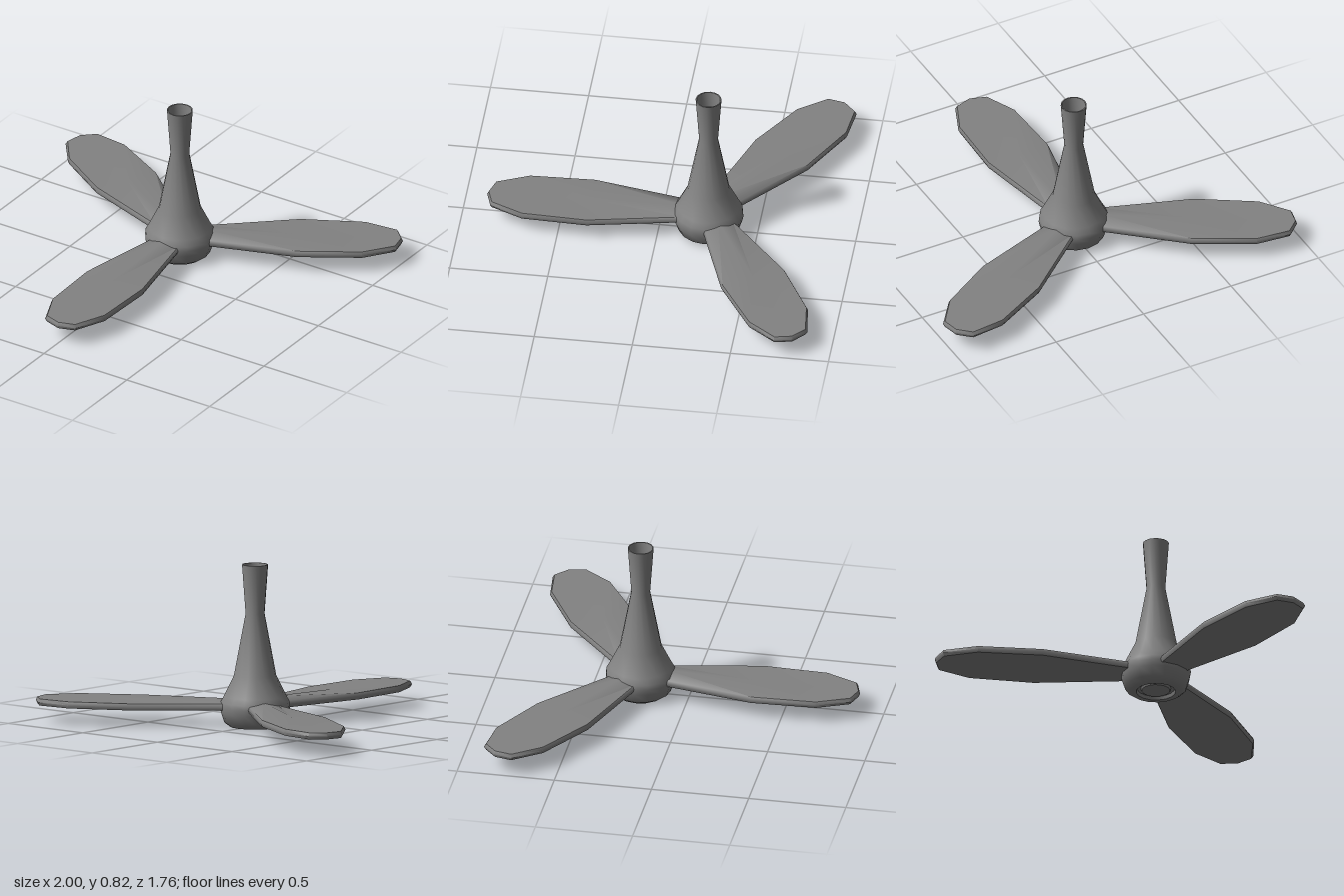
import * as THREE from 'three';
import { toCreasedNormals } from 'three/addons/utils/BufferGeometryUtils.js';

const HUB_Z = -0.25;

// Hub and flared down-rod: one turned shape with a hollow top and a grooved underside
function hubGeometry() {
  const profile = [
    [0, 0.006], [0.072, 0.006], [0.077, 0.018], [0.095, 0.018], [0.1, 0], [0.128, 0],
    [0.155, 0.02], [0.172, 0.07], [0.178, 0.1], [0.175, 0.125], [0.158, 0.155],
    [0.107, 0.26], [0.048, 0.575], [0.066, 0.825],
    [0.06, 0.825], [0.055, 0.74], [0, 0.74],
  ].map(([r, y]) => new THREE.Vector2(r, y));
  return toCreasedNormals(new THREE.LatheGeometry(profile, 16), 0.8);
}

// Blade along +z: cross-sections with rounded rims and a ridge rising towards the hub
function bladeGeometry() {
  const low = 0.086, mid = 0.103, top = 0.12, bevel = 0.008;
  // distance from hub axis, half width, ridge height, end bevel
  const stations = [
    [0.13, 0.085, 0.138, 0], [0.6, 0.175, 0.124, 0], [0.93, 0.164, 0.12, 0],
    [1.1, 0.092, 0.12, 0.007], [1.128, 0, 0.12, 0.008],
  ];
  const positions = [], index = [];
  for (const [r, w, ridge, end] of stations) {
    const v = Math.max(w - bevel, 0), z = r - end;
    positions.push(
      v, low, z, w, mid, r, v, top, z, 0, ridge, z,
      -v, top, z, -w, mid, r, -v, low, z);
  }
  const n = 7;
  for (let i = 0; i < stations.length - 1; i++) {
    for (let j = 0; j < n; j++) {
      const k = (j + 1) % n;
      const a = i * n + j, b = i * n + k, c = b + n, d = a + n;
      index.push(a, b, c, a, c, d);
    }
  }
  // root cap inside the hub
  for (let j = 1; j < n - 1; j++) index.push(0, j + 1, j);
  const geometry = new THREE.BufferGeometry();
  geometry.setAttribute('position', new THREE.Float32BufferAttribute(positions, 3));
  geometry.setIndex(index);
  return toCreasedNormals(geometry, 1);
}

export function createModel() {
  const fan = new THREE.Group();
  fan.name = 'ceilingFan';
  const darkGrey = new THREE.MeshStandardMaterial({ color: 0x828282 });

  const hub = new THREE.Mesh(hubGeometry(), darkGrey);
  hub.name = 'hubAndRod';
  hub.position.z = HUB_Z;
  fan.add(hub);

  // Three blades, evenly spaced, one pointing forward
  const shape = bladeGeometry();
  ['frontBlade', 'backLeftBlade', 'backRightBlade'].forEach((name, i) => {
    const blade = new THREE.Mesh(shape, darkGrey);
    blade.name = name;
    blade.position.z = HUB_Z;
    blade.rotation.y = (i * 2 * Math.PI) / 3;
    fan.add(blade);
  });
  return fan;
}
